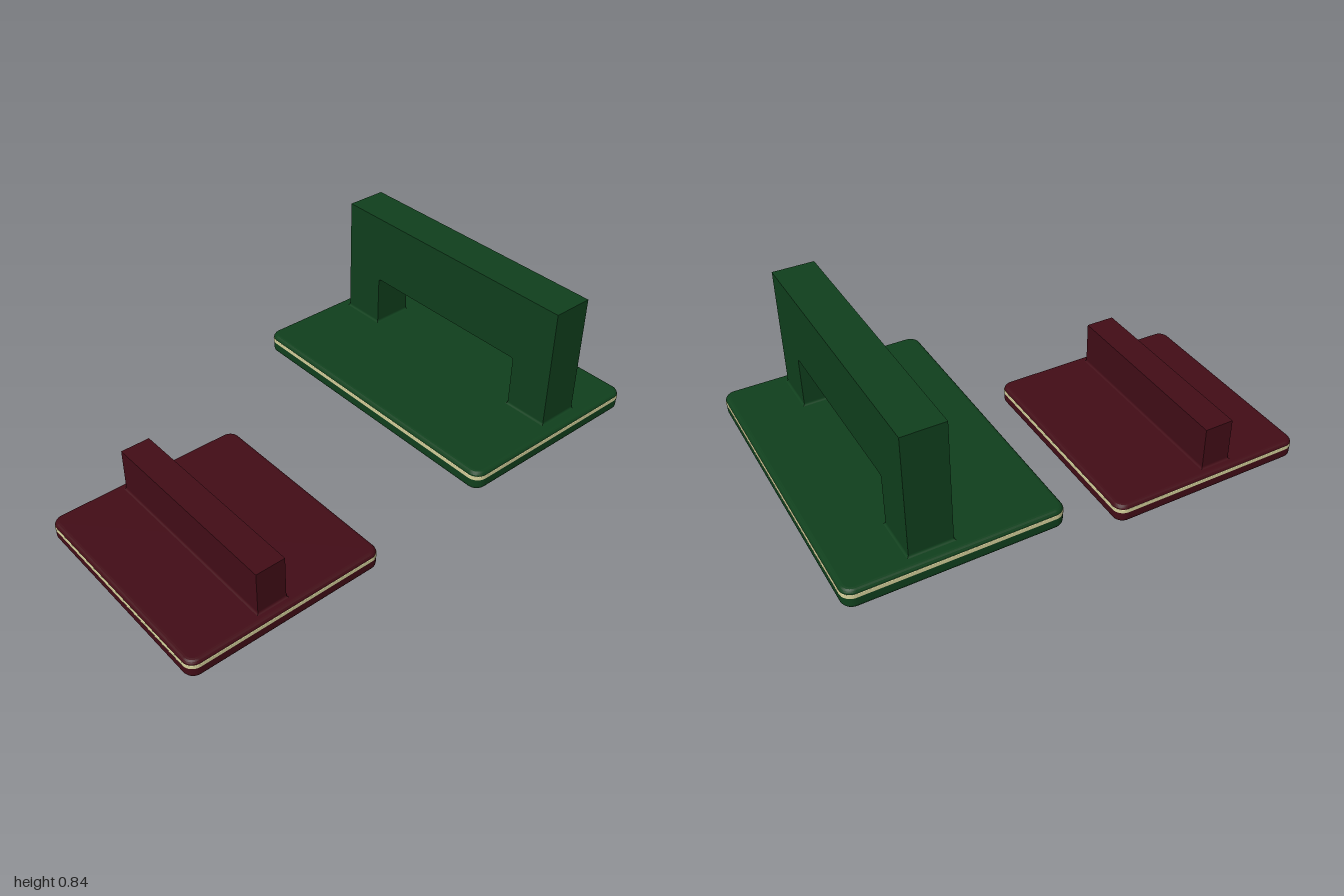
import * as THREE from 'three';

const GREEN = 0x10401d, RED = 0x430d17, CREAM = 0xd6d29c;

const material = (color) => new THREE.MeshStandardMaterial({ color });

function add(group, name, geometry, mat) {
  const mesh = new THREE.Mesh(geometry, mat);
  mesh.name = name;
  group.add(mesh);
  return mesh;
}

// Rounded rectangle outline, centred on the origin
function roundedRect(w, d, r, Type = THREE.Shape) {
  const s = new Type(), x = w / 2, y = d / 2;
  s.absarc(x - r, y - r, r, 0, Math.PI / 2);
  s.absarc(-x + r, y - r, r, Math.PI / 2, Math.PI);
  s.absarc(-x + r, -y + r, r, Math.PI, Math.PI * 1.5);
  s.absarc(x - r, -y + r, r, Math.PI * 1.5, Math.PI * 2);
  s.closePath();
  return s;
}

// Flat slab with softened rims, lying from y to y + h
function slab(w, d, y, h, corner, bevel) {
  const g = new THREE.ExtrudeGeometry(roundedRect(w - 2 * bevel, d - 2 * bevel, corner - bevel), {
    depth: h - 2 * bevel, bevelEnabled: true, bevelSize: bevel, bevelThickness: bevel,
    bevelSegments: 4, curveSegments: 6,
  });
  g.rotateX(-Math.PI / 2);
  g.translate(0, y + bevel, 0);
  return g;
}

// Box whose lower end flares out in a small concave fillet
function flaredFoot(w, d, r) {
  const g = new THREE.BoxGeometry(w, r, d, 1, 4, 1);
  g.translate(0, r / 2, 0);
  const p = g.attributes.position;
  for (let i = 0; i < p.count; i++) {
    const t = 1 - p.getY(i) / r;
    const out = r * (1 - Math.sqrt(Math.max(0, 1 - t * t)));
    p.setX(i, p.getX(i) + Math.sign(p.getX(i)) * out);
    p.setZ(i, p.getZ(i) + Math.sign(p.getZ(i)) * out);
  }
  g.computeVertexNormals();
  return g;
}

// Upright handle profile; legs > 0 cuts a grip opening between two legs
function handleGeometry(w, h, d, legs, openTop) {
  const s = new THREE.Shape(), x = w / 2, r = 0.014;
  s.moveTo(-x, 0);
  if (legs) {
    const i = x - legs;
    s.lineTo(-i, 0);
    s.lineTo(-i, openTop - r);
    s.quadraticCurveTo(-i, openTop, -i + r, openTop);
    s.lineTo(i - r, openTop);
    s.quadraticCurveTo(i, openTop, i, openTop - r);
    s.lineTo(i, 0);
  }
  s.lineTo(x, 0);
  s.lineTo(x, h);
  s.lineTo(-x, h);
  s.closePath();
  const g = new THREE.ExtrudeGeometry(s, { depth: d, bevelEnabled: false, curveSegments: 6 });
  g.translate(0, 0, -d / 2);
  return g;
}

function buildPlate(name, color, o) {
  const group = new THREE.Group(), body = material(color);
  group.name = name;
  add(group, 'base', slab(o.width, o.depth, 0, 0.08, 0.045, 0.018), body);

  // Pale piping around the rim
  add(group, 'rimStripe', slab(o.width + 0.003, o.depth + 0.003, 0.046, 0.018, 0.046, 0.003), material(CREAM));

  // Handle and its filleted feet
  const handle = add(group, 'handle', handleGeometry(o.grip, o.height, o.thick, o.legs, o.openTop), body);
  handle.position.set(0, 0.079, o.gripZ);
  const footWidth = o.legs || o.grip;
  for (const side of o.legs ? [-1, 1] : [0]) {
    const foot = add(group, 'handleFoot', flaredFoot(footWidth, o.thick, 0.01), body);
    foot.position.set(side * (o.grip - footWidth) / 2, 0.079, o.gripZ);
  }
  return group;
}

export function createModel() {
  const model = new THREE.Group();
  model.name = 'handledPlates';

  // Large rear plate with an open grip
  const rear = buildPlate('greenPlate', GREEN, {
    width: 1.226, depth: 0.822, grip: 1.122, height: 0.495, thick: 0.165,
    legs: 0.181, openTop: 0.214, gripZ: -0.08,
  });
  rear.position.set(0, 0.275, -0.588);

  // Small front plate with a solid grip
  const front = buildPlate('redPlate', RED, {
    width: 0.93, depth: 0.852, grip: 0.852, height: 0.191, thick: 0.125,
    legs: 0, openTop: 0, gripZ: 0.05,
  });
  front.position.set(0, 0.004, 0.572);

  model.add(rear, front);
  return model;
}
